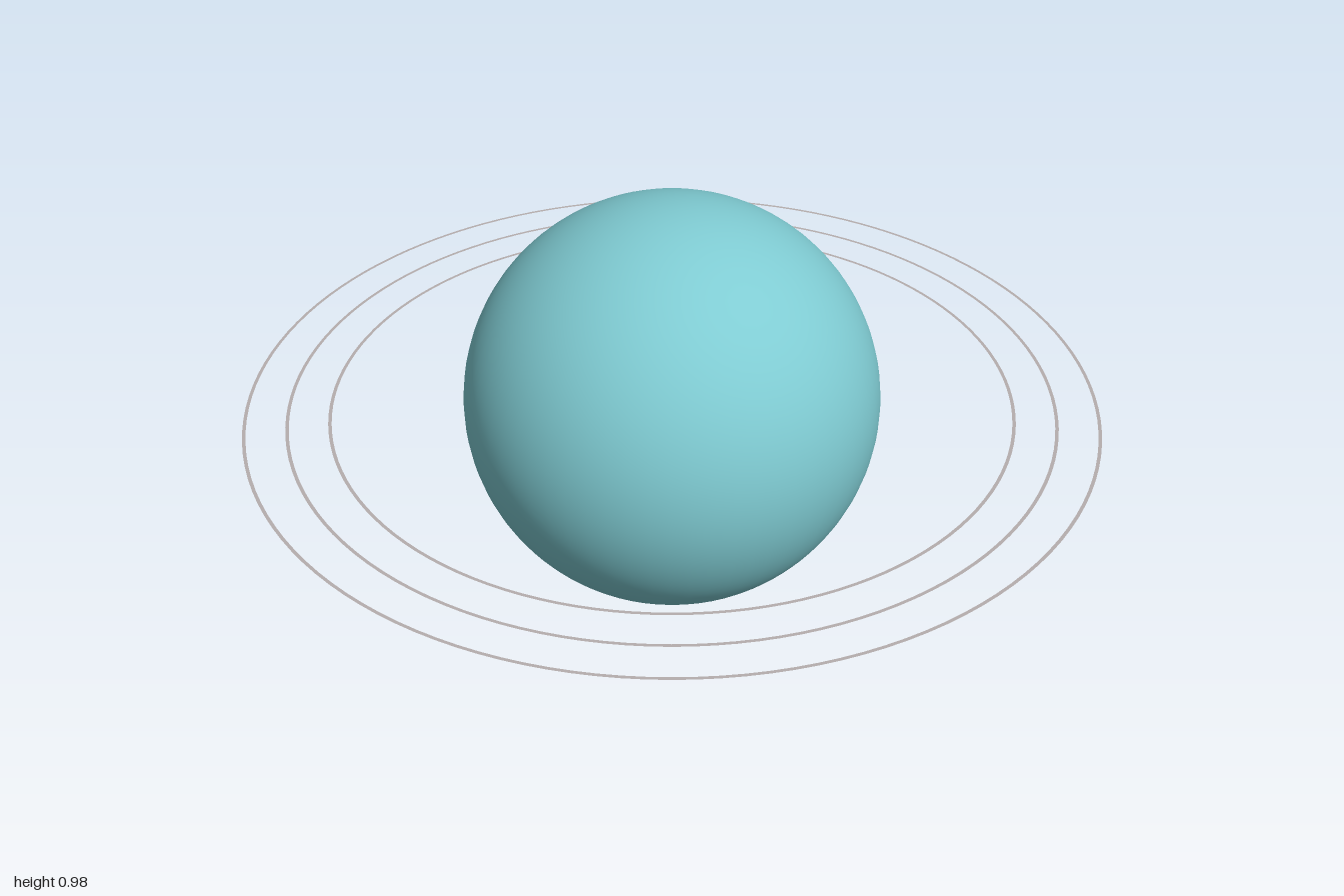
import * as THREE from 'three';

export function createModel() {
  const model = new THREE.Group();
  const planetTeal = new THREE.MeshStandardMaterial({ color: 0x7fcbd2 });
  planetTeal.name = 'planetTeal';
  const ringGrey = new THREE.MeshStandardMaterial({ color: 0xb6aeae, side: THREE.DoubleSide });
  ringGrey.name = 'ringGrey';

  const radius = 0.49;

  // Smooth globe standing on the ground
  const globe = new THREE.Mesh(new THREE.SphereGeometry(radius, 64, 48), planetTeal);
  globe.name = 'globe';
  globe.position.y = radius;
  model.add(globe);

  // Three narrow flat rings around the equator
  const rings = new THREE.Group();
  rings.name = 'rings';
  rings.position.y = radius;
  ['innerRing', 'middleRing', 'outerRing'].forEach((name, i) => {
    const outer = 0.804 + i * 0.098;
    const ring = new THREE.Mesh(new THREE.RingGeometry(outer - 0.008, outer, 128), ringGrey);
    ring.name = name;
    ring.rotation.x = -Math.PI / 2;
    rings.add(ring);
  });
  model.add(rings);

  return model;
}
